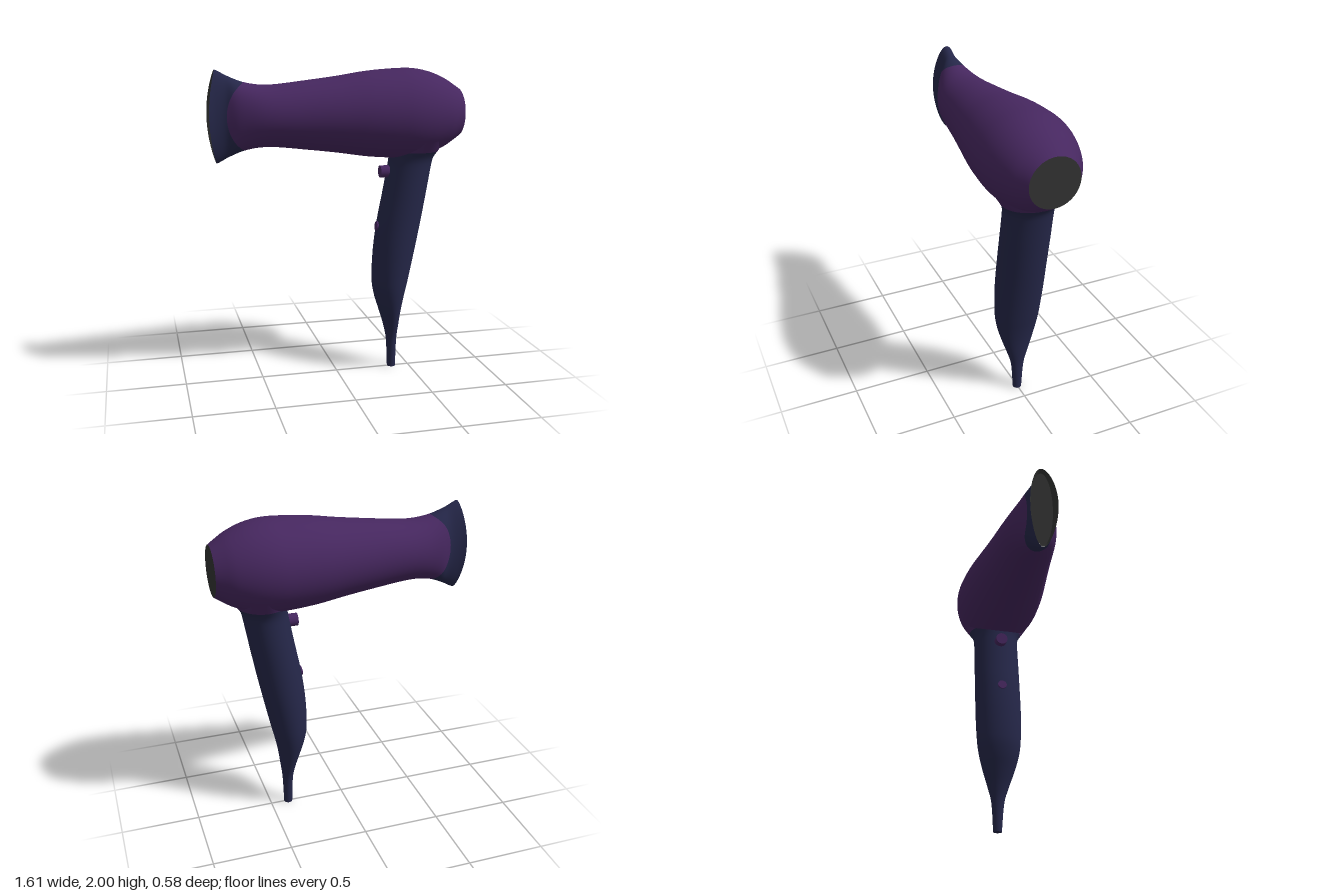
import * as THREE from 'three';
import { mergeVertices } from 'three/addons/utils/BufferGeometryUtils.js';

// Smooth interpolation through rows of [position, value, value, ...]
function sample(rows, p, k) {
  let i = 0;
  while (i < rows.length - 2 && p > rows[i + 1][0]) i++;
  const slope = (j) => {
    const a = rows[Math.max(j - 1, 0)], b = rows[Math.min(j + 1, rows.length - 1)];
    return (b[k] - a[k]) / (b[0] - a[0]);
  };
  const a = rows[i], b = rows[i + 1], d = b[0] - a[0], t = (p - a[0]) / d;
  const t2 = t * t, t3 = t2 * t;
  return (2 * t3 - 3 * t2 + 1) * a[k] + (t3 - 2 * t2 + t) * d * slope(i)
    + (3 * t2 - 2 * t3) * b[k] + (t3 - t2) * d * slope(i + 1);
}

// Closed-ring surface: point(s, angle) with s from 0 to 1
function surface(point, steps, sides = 64) {
  const pos = [], index = [];
  for (let i = 0; i <= steps; i++)
    for (let j = 0; j < sides; j++) pos.push(...point(i / steps, (j / sides) * Math.PI * 2));
  for (let i = 0; i < steps; i++)
    for (let j = 0; j < sides; j++) {
      const n = (j + 1) % sides, a = i * sides + j, b = a + sides;
      const c = i * sides + n, d = c + sides;
      index.push(a, b, c, c, b, d);
    }
  let g = new THREE.BufferGeometry();
  g.setAttribute('position', new THREE.Float32BufferAttribute(pos, 3));
  g.setIndex(index);
  g = mergeVertices(g, 1e-5);
  g.computeVertexNormals();
  return g;
}

// Barrel: x, half height, half depth
const BARREL = [
  [-0.82, 0.287, 0.093], [-0.76, 0.285, 0.077], [-0.7, 0.255, 0.08], [-0.65, 0.232, 0.112],
  [-0.59, 0.21, 0.138], [-0.5, 0.194, 0.167], [-0.4, 0.193, 0.187], [-0.2, 0.215, 0.214],
  [0, 0.24, 0.245], [0.2, 0.27, 0.275], [0.4, 0.285, 0.29], [0.5, 0.283, 0.285],
  [0.6, 0.263, 0.264], [0.7, 0.222, 0.226], [0.76, 0.185, 0.188], [0.805, 0.155, 0.158],
];
// Handle: y, front x, rear x, half depth
const HANDLE = [
  [0, 0.355, 0.41, 0.028], [0.2, 0.345, 0.415, 0.044], [0.3, 0.325, 0.425, 0.073],
  [0.4, 0.295, 0.437, 0.106], [0.5, 0.264, 0.455, 0.133], [0.6, 0.247, 0.478, 0.147],
  [0.8, 0.252, 0.52, 0.155], [1, 0.276, 0.56, 0.155], [1.2, 0.314, 0.596, 0.155],
  [1.4, 0.35, 0.631, 0.155], [1.44, 0.355, 0.643, 0.163], [1.475, 0.358, 0.67, 0.182],
  [1.55, 0.365, 0.7, 0.23],
];
const AXIS_Y = 1.715, BACK = 0.805;
const ring = (x, a, scale = 1) => [
  x, AXIS_Y + Math.sin(a) * sample(BARREL, x, 1) * scale, Math.cos(a) * sample(BARREL, x, 2) * scale,
];
// Curved seam between barrel and nozzle, and curved nozzle rim
const seam = (a) => -0.59 - 0.11 * Math.cos(a) ** 2;
const rim = (a) => -0.763 - 0.044 * Math.cos(a) ** 2;
const mix = THREE.MathUtils.lerp;

const handleRing = (y, a) => {
  const x0 = sample(HANDLE, y, 1), x1 = sample(HANDLE, y, 2);
  return [(x0 + x1) / 2 + (Math.cos(a) * (x1 - x0)) / 2, y, Math.sin(a) * sample(HANDLE, y, 3)];
};

export function createModel() {
  const material = (name, color) => Object.assign(new THREE.MeshStandardMaterial({ color }), { name });
  const purple = material('purple shell', 0x46275f);
  const navy = material('navy grip', 0x252749);
  const grey = material('dark grey', 0x323332);

  const group = new THREE.Group();
  group.name = 'hairDryer';
  const add = (name, geometry, mat) => {
    const mesh = new THREE.Mesh(geometry, mat);
    mesh.name = name;
    group.add(mesh);
    return mesh;
  };

  // Barrel and rear intake
  add('barrel', surface((s, a) => ring(mix(seam(a), BACK, s), a), 64), purple);
  add('rearIntake', surface((s, a) => ring(BACK, a, 1 - s), 4), grey);

  // Flared flat nozzle with a recessed outlet
  const FLOOR = -0.745;
  add('nozzle', surface((s, a) => ring(mix(rim(a), seam(a), s), a), 14), navy);
  add('nozzleLining', surface((s, a) => ring(mix(FLOOR, rim(a), s), a, mix(0.94, 0.995, s)), 6), grey);
  add('nozzleOutlet', surface((s, a) => ring(FLOOR, a, s * 0.94), 4), grey);

  // Handle, its end cap and the fillet into the barrel
  add('handle', surface((s, a) => handleRing(s * 1.475, a), 60, 48), navy);
  add('handleEnd', surface((s, a) => {
    const p = handleRing(0, a);
    return [mix(0.3825, p[0], s), 0, p[2] * s];
  }, 2, 48), navy);
  add('handleFillet', surface((s, a) => handleRing(mix(1.475, 1.55, s), a), 6, 48), purple);

  // Buttons on the front of the grip
  const button = (name, radius, length, x, y) => {
    const mesh = add(name, new THREE.CylinderGeometry(radius, radius, length, 32), purple);
    mesh.rotation.z = Math.PI / 2;
    mesh.position.set(x, y, 0);
    return mesh;
  };
  button('triggerButton', 0.04, 0.1, 0.338, 1.34);
  button('smallButton', 0.03, 0.03, 0.28, 0.98).rotation.z += -0.15;

  return group;
}
